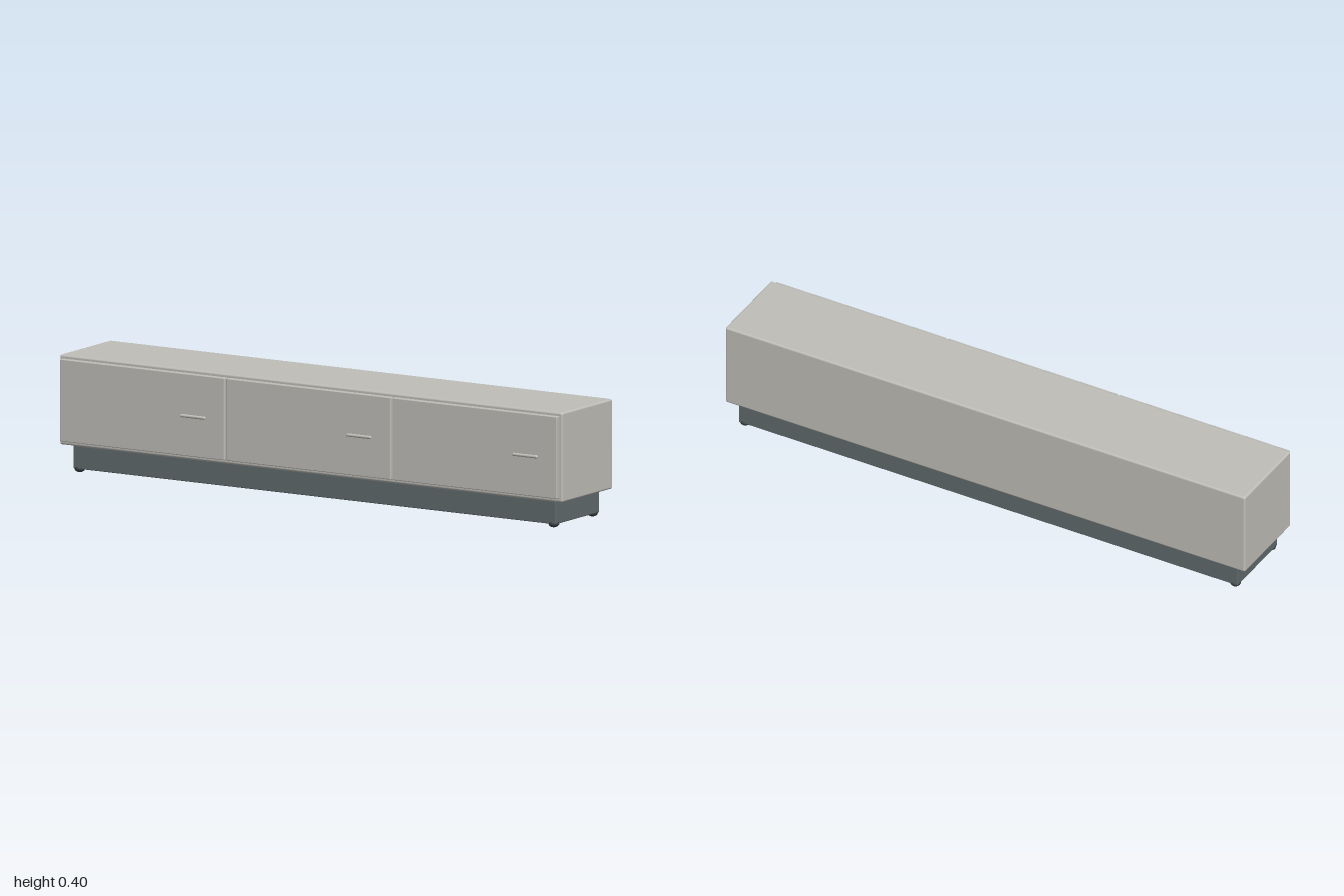
import * as THREE from 'three';
import { RoundedBoxGeometry } from 'three/addons/geometries/RoundedBoxGeometry.js';

const material = (name, color) => {
  const m = new THREE.MeshStandardMaterial({ color });
  m.name = name;
  return m;
};

export function createModel() {
  const model = new THREE.Group();
  model.name = 'lowCabinet';
  const lacquer = material('warm grey lacquer', 0xc0beb8);
  const slate = material('slate grey', 0x606a6d);
  const rubber = material('dark foot', 0x3c4346);

  const add = (name, geometry, mat, x, y, z, parent = model) => {
    const mesh = new THREE.Mesh(geometry, mat);
    mesh.name = name;
    mesh.position.set(x, y, z);
    parent.add(mesh);
    return mesh;
  };
  // Rounded box given by its lower and upper corners
  const block = (name, mat, min, max, radius) => add(name,
    new RoundedBoxGeometry(max[0] - min[0], max[1] - min[1], max[2] - min[2], 3, radius), mat,
    (min[0] + max[0]) / 2, (min[1] + max[1]) / 2, (min[2] + max[2]) / 2);

  // Carcass, recessed plinth and the thin spacer between them
  block('carcass', lacquer, [-1, 0.094, -0.173], [1, 0.4, 0.14], 0.007);
  block('plinth', slate, [-0.96, 0.013, -0.152], [0.96, 0.092, 0.119], 0.003);
  add('spacer', new THREE.BoxGeometry(1.82, 0.006, 0.19), slate, 0, 0.093, -0.016);

  // Three door fronts, each with a bar handle near its right-hand end
  const doorWidth = 0.655;
  const postGeometry = new THREE.CylinderGeometry(0.0035, 0.0035, 0.016, 12).rotateX(Math.PI / 2);
  const barGeometry = new THREE.CapsuleGeometry(0.0055, 0.09, 4, 12).rotateZ(Math.PI / 2);
  for (const i of [-1, 0, 1]) {
    const x = i * 0.661;
    block('door', lacquer, [x - doorWidth / 2, 0.108, 0.137], [x + doorWidth / 2, 0.388, 0.157], 0.003);
    const handle = new THREE.Group();
    handle.name = 'handle';
    handle.position.set(x + 0.21, 0.247, 0);
    add('handleBar', barGeometry, lacquer, 0, 0, 0.17, handle);
    for (const side of [-1, 1]) add('handlePost', postGeometry, lacquer, side * 0.038, 0, 0.162, handle);
    model.add(handle);
  }

  // Flattened round feet at the plinth corners
  const footGeometry = new THREE.SphereGeometry(1, 24, 16).scale(0.0185, 0.0135, 0.0185);
  for (const x of [-0.943, 0.943])
    for (const z of [-0.136, 0.103]) add('foot', footGeometry, rubber, x, 0.0135, z);

  return model;
}
